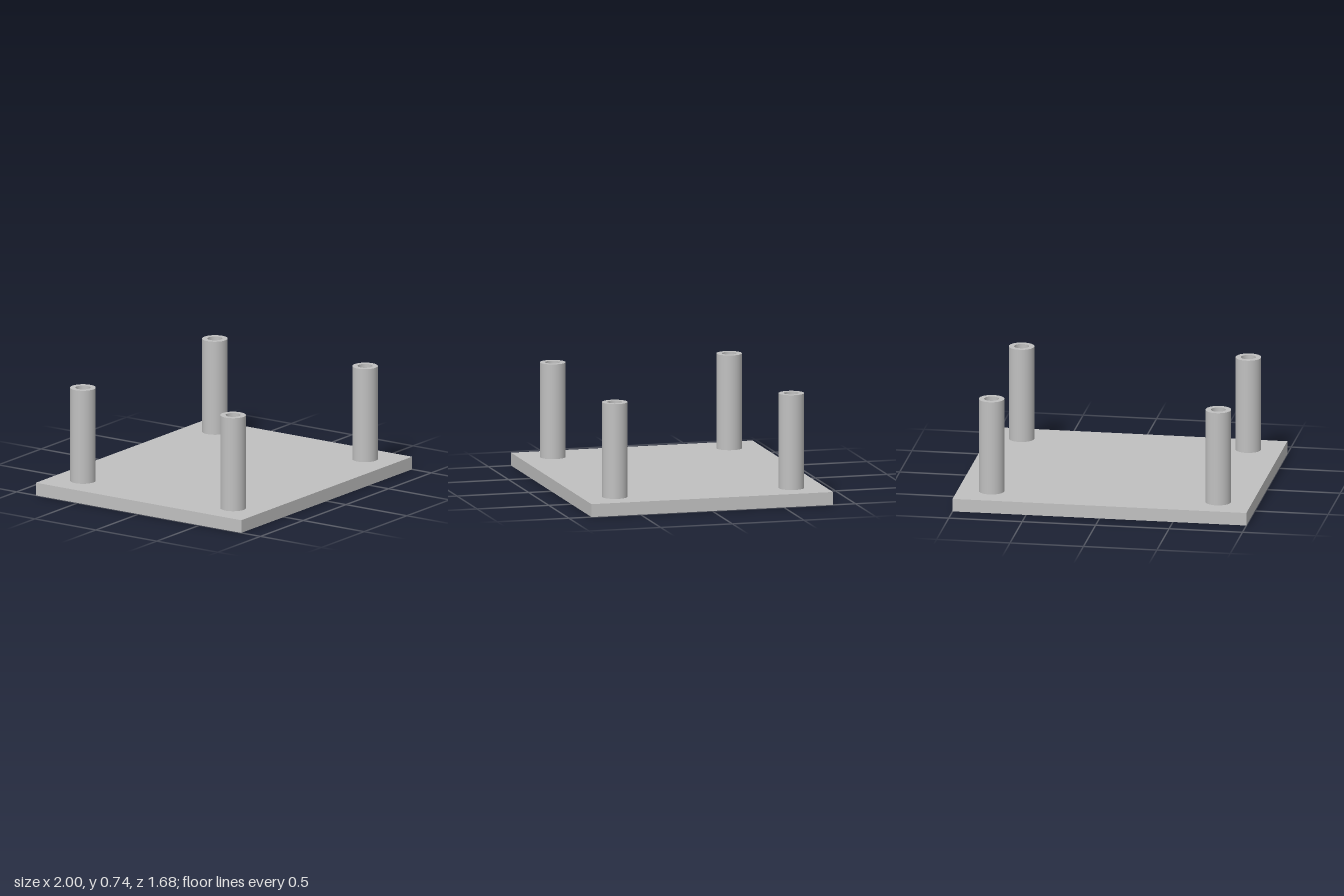
import * as THREE from 'three';
import { toCreasedNormals, mergeGeometries } from 'three/addons/utils/BufferGeometryUtils.js';

const WIDTH = 2, DEPTH = 1.685, THICK = 0.088;
const POST_X = 0.772, POST_Z = 0.616, POST_TOP = 0.735;
const OUTER = 0.086, BORE = 0.05, RECESS = 0.045;
const SEGMENTS = 48;

const corners = [[-1, -1], [1, -1], [1, 1], [-1, 1]];

// Flat plate with a round opening under each post
function plateGeometry() {
  const shape = new THREE.Shape(
    corners.map(([sx, sy]) => new THREE.Vector2(sx * WIDTH / 2, sy * DEPTH / 2)));
  for (const [sx, sy] of corners) {
    const hole = new THREE.Path();
    hole.absarc(sx * POST_X, sy * POST_Z, OUTER, 0, Math.PI * 2, true);
    shape.holes.push(hole);
  }
  const geometry = new THREE.ExtrudeGeometry(shape, {
    depth: THICK, bevelEnabled: false, curveSegments: SEGMENTS / 2,
  });
  geometry.rotateX(-Math.PI / 2);
  return toCreasedNormals(geometry, Math.PI / 6);
}

// Hollow post; its lower rim forms the ceiling of the recess in the plate
function postGeometry() {
  const profile = [
    [OUTER, THICK], [OUTER, POST_TOP], [BORE, POST_TOP], [BORE, RECESS], [OUTER, RECESS],
  ].map(([r, y]) => new THREE.Vector2(r, y));
  // One lathe per profile segment keeps the rims sharp
  const bands = profile.slice(1).map((p, i) =>
    new THREE.LatheGeometry([profile[i], p], SEGMENTS));
  return mergeGeometries(bands);
}

export function createModel() {
  const model = new THREE.Group();
  model.name = 'standoffPlate';
  const grey = new THREE.MeshStandardMaterial({ color: 0xc0c0c0 });
  grey.name = 'grey';

  const plate = new THREE.Mesh(plateGeometry(), grey);
  plate.name = 'basePlate';
  model.add(plate);

  const geometry = postGeometry();
  for (const [sx, sz] of corners) {
    const post = new THREE.Mesh(geometry, grey);
    post.name = (sz > 0 ? 'front' : 'back') + (sx > 0 ? 'Left' : 'Right') + 'Post';
    post.position.set(sx * POST_X, 0, sz * POST_Z);
    model.add(post);
  }
  return model;
}
